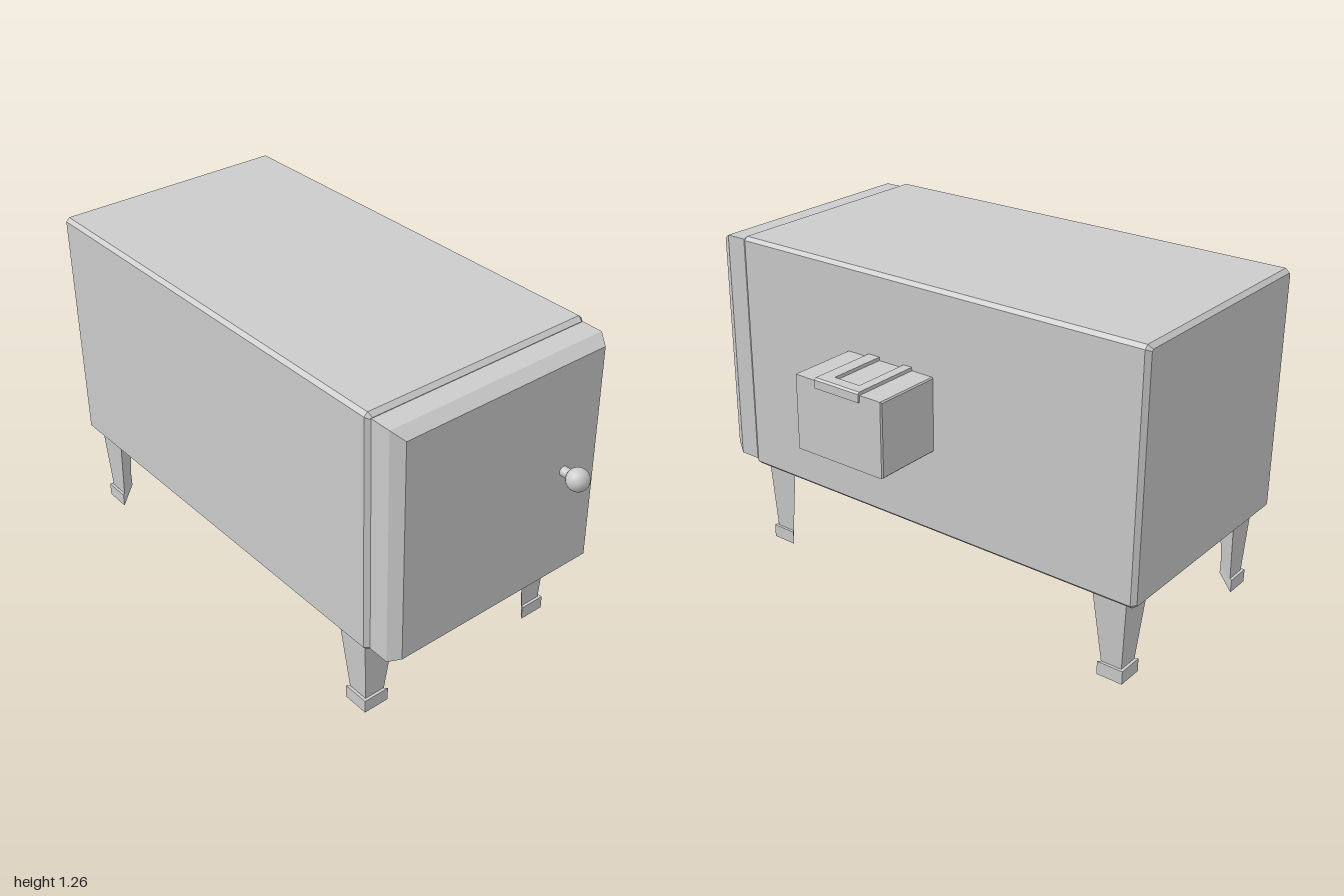
import * as THREE from 'three';

const material = new THREE.MeshStandardMaterial({ color: 0xcccccc, flatShading: true });
const smooth = new THREE.MeshStandardMaterial({ color: 0xcccccc });

function add(parent, name, geometry, x = 0, y = 0, z = 0, mat = material) {
  const mesh = new THREE.Mesh(geometry, mat);
  mesh.name = name;
  mesh.position.set(x, y, z);
  parent.add(mesh);
  return mesh;
}

// Rectangle outline with optional cut corners
function outline(x0, x1, y0, y1, cut = 0) {
  const p = [[x0 + cut, y0], [x1 - cut, y0], [x1, y0 + cut], [x1, y1 - cut],
    [x1 - cut, y1], [x0 + cut, y1], [x0, y1 - cut], [x0, y0 + cut]];
  const corners = cut ? p : [p[0], p[1], p[4], p[5]];
  return new THREE.Shape(corners.map(([x, y]) => new THREE.Vector2(x, y)));
}

// Box with chamfers: b is the inset of the end chamfers, t their length along z
function chamferBox(x0, x1, y0, y1, z0, z1, b, t, cut = 0) {
  const g = new THREE.ExtrudeGeometry(outline(x0 + b, x1 - b, y0 + b, y1 - b, cut), {
    depth: z1 - z0 - 2 * t, bevelEnabled: true, bevelSize: b, bevelThickness: t, bevelSegments: 1,
  });
  return g.translate(0, 0, z0 + t);
}

function block(parent, name, x0, x1, y0, y1, z0, z1) {
  return add(parent, name, new THREE.BoxGeometry(x1 - x0, y1 - y0, z1 - z0),
    (x0 + x1) / 2, (y0 + y1) / 2, (z0 + z1) / 2);
}

// Triangular prism with its right angle on the outer corner; a and b are
// [start, end] distances inward from that corner at the bottom and the top
function cornerPrism(sx, sz, a, b, height) {
  const shape = new THREE.Shape([[0, 0], [1, 0], [0, 1]].map(
    ([u, v]) => new THREE.Vector2(-sx * u, sz * v)));
  const g = new THREE.ExtrudeGeometry(shape, { depth: height, bevelEnabled: false });
  g.rotateX(-Math.PI / 2);
  const p = g.attributes.position;
  for (let i = 0; i < p.count; i++) {
    const k = p.getY(i) / height;
    const start = THREE.MathUtils.lerp(a[0], b[0], k);
    const size = THREE.MathUtils.lerp(a[1], b[1], k) - start;
    p.setX(i, p.getX(i) * size - sx * start);
    p.setZ(i, p.getZ(i) * size - sz * start);
  }
  g.computeVertexNormals();
  return g;
}

export function createModel() {
  const model = new THREE.Group();
  model.name = 'cabinetOven';

  // Main cabinet and door
  add(model, 'cabinet', chamferBox(-0.61, 0.325, 0.33, 1.265, -1, 0.762, 0.013, 0.018, 0.006));
  add(model, 'door', chamferBox(-0.597, 0.312, 0.345, 1.25, 0.6, 0.89, 0.027, 0.045));

  // Door knob
  const knob = new THREE.Group();
  knob.name = 'doorKnob';
  knob.position.set(0.134, 0.8, 0);
  model.add(knob);
  add(knob, 'knobStem', new THREE.CylinderGeometry(0.018, 0.018, 0.06, 24).rotateX(Math.PI / 2), 0, 0, 0.91, smooth);
  add(knob, 'knobBall', new THREE.SphereGeometry(0.042, 32, 20), 0, 0, 0.957, smooth);

  // Four tapered corner legs with feet
  for (const sx of [-1, 1]) {
    for (const sz of [-1, 1]) {
      const leg = new THREE.Group();
      leg.name = (sz > 0 ? 'front' : 'back') + (sx > 0 ? 'Left' : 'Right') + 'Leg';
      leg.position.set(-0.1425 + sx * 0.432, 0, -0.118 + sz * 0.828);
      add(leg, 'foot', cornerPrism(sx, sz, [0, 0.103], [0, 0.103], 0.052));
      add(leg, 'legPost', cornerPrism(sx, sz, [0.011, 0.094], [-0.003, 0.134], 0.285), 0, 0.05, 0);
      model.add(leg);
    }
  }

  // Control box on the side
  const control = new THREE.Group();
  control.name = 'controlBox';
  model.add(control);
  add(control, 'controlCase', chamferBox(0.31, 0.596, 0.655, 0.94, -0.152, 0.243, 0.005, 0.005));

  // Strap over the top of the control box, open around a notch
  block(control, 'strapBack', 0.32, 0.555, 0.935, 0.953, -0.057, -0.02);
  block(control, 'strapFront', 0.32, 0.555, 0.935, 0.953, 0.092, 0.142);
  const lip = new THREE.Shape([[0.555, 0.935], [0.59, 0.935], [0.59, 0.915], [0.604, 0.915],
    [0.604, 0.946], [0.597, 0.953], [0.555, 0.953]].map(([x, y]) => new THREE.Vector2(x, y)));
  add(control, 'strapLip', new THREE.ExtrudeGeometry(lip, { depth: 0.199, bevelEnabled: false }), 0, 0, -0.057);

  // Display frame with a recessed screen
  const frame = outline(0.443, 0.555, 0.793, 0.905);
  frame.holes.push(outline(0.455, 0.545, 0.828, 0.892, 0.006));
  add(control, 'displayFrame', new THREE.ExtrudeGeometry(frame, {
    depth: 0.032, bevelEnabled: false }), 0, 0, 0.24);
  block(control, 'displayScreen', 0.45, 0.55, 0.82, 0.9, 0.24, 0.262);

  // Slider switch
  block(control, 'switchPlate', 0.357, 0.394, 0.703, 0.803, 0.24, 0.258);
  const lever = new THREE.Shape([[0.24, 0.712], [0.285, 0.706], [0.294, 0.72], [0.275, 0.745],
    [0.24, 0.745]].map(([z, y]) => new THREE.Vector2(-z, y)));
  add(control, 'switchLever', new THREE.ExtrudeGeometry(lever, {
    depth: 0.033, bevelEnabled: false }).rotateY(Math.PI / 2), 0.359, 0, 0);

  // Small push button
  block(control, 'buttonBase', 0.49, 0.527, 0.693, 0.742, 0.24, 0.268);
  block(control, 'button', 0.498, 0.519, 0.703, 0.734, 0.24, 0.284);

  return model;
}
